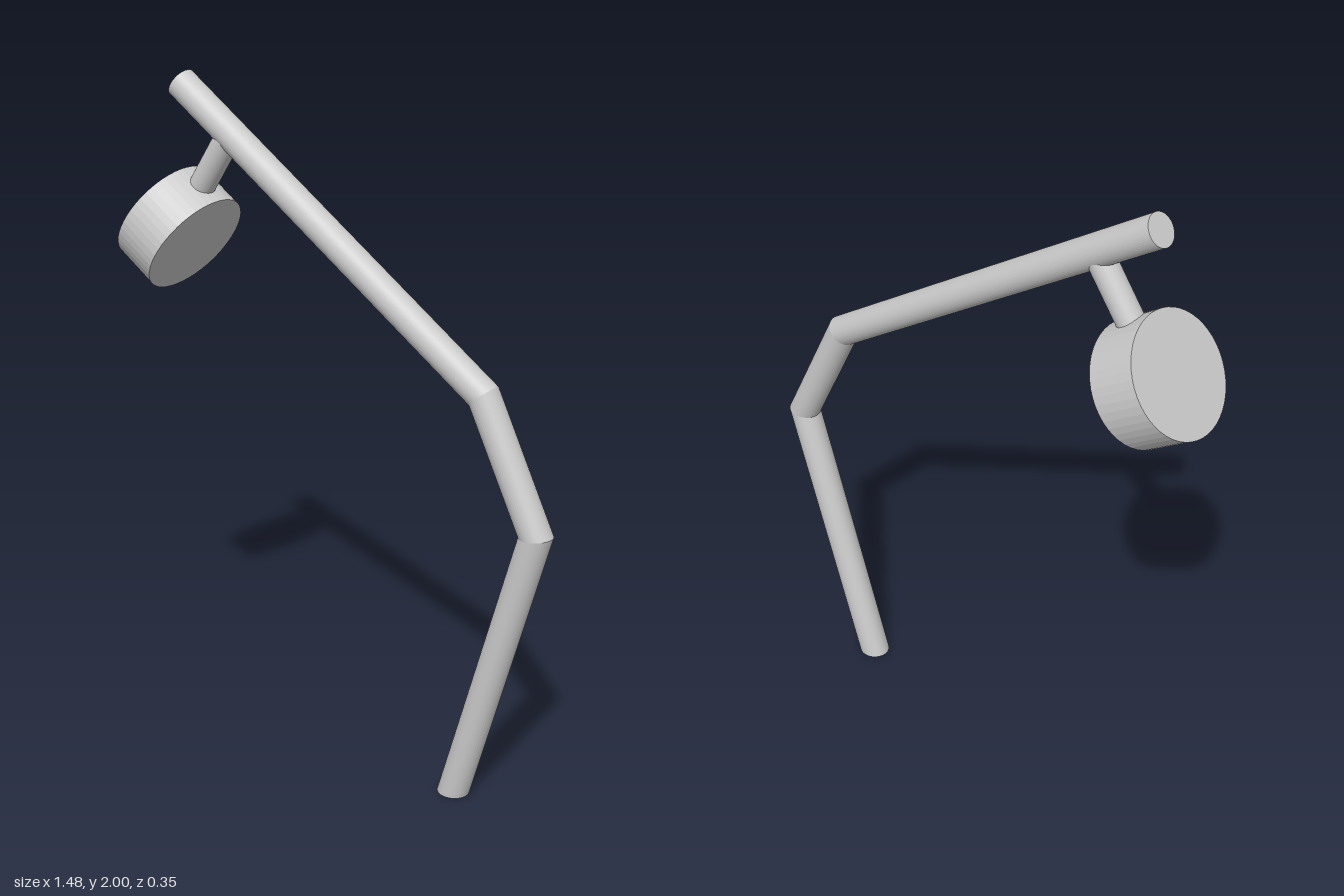
import * as THREE from 'three';

const SIDES = 48;
const material = new THREE.MeshStandardMaterial({ color: 0xcccccc, flatShading: true });

// Straight rod from a to b, its ends cut by planes with normals cutA and cutB
function rod(name, a, b, radius, cutA, cutB) {
  const dir = b.clone().sub(a);
  const length = dir.length();
  dir.normalize();
  const geometry = new THREE.CylinderGeometry(radius, radius, length, SIDES);
  const turn = new THREE.Quaternion().setFromUnitVectors(new THREE.Vector3(0, 1, 0), dir);
  const pos = geometry.attributes.position;
  const p = new THREE.Vector3();
  for (let i = 0; i < pos.count; i++) {
    p.fromBufferAttribute(pos, i);
    const [end, normal] = p.y < 0 ? [a, cutA ?? dir] : [b, cutB ?? dir];
    p.applyQuaternion(turn).addScaledVector(a, 0.5).addScaledVector(b, 0.5);
    // slide the vertex along the rod onto the cutting plane
    const slide = end.clone().sub(p).dot(normal) / dir.dot(normal);
    p.addScaledVector(dir, slide);
    pos.setXYZ(i, p.x, p.y, p.z);
  }
  geometry.computeVertexNormals();
  const mesh = new THREE.Mesh(geometry, material);
  mesh.name = name;
  return mesh;
}

export function createModel() {
  const model = new THREE.Group();
  model.name = 'bentArmLamp';

  // Bent arm: three rods with mitred joints and a level foot
  const path = [[0.443, 0], [0.688, 0.871], [0.508, 1.233], [-0.558, 1.958]]
    .map(([x, y]) => new THREE.Vector3(x, y, 0));
  const dirs = path.slice(1).map((p, i) => p.clone().sub(path[i]).normalize());
  const cuts = [
    new THREE.Vector3(0, 1, 0),
    dirs[0].clone().add(dirs[1]).normalize(),
    dirs[1].clone().add(dirs[2]).normalize(),
    dirs[2],
  ];
  ['lowerArm', 'elbow', 'upperArm'].forEach((name, i) => {
    model.add(rod(name, path[i], path[i + 1], 0.046, cuts[i], cuts[i + 1]));
  });

  // Round head, its axis parallel to the upper arm
  const axis = dirs[2];
  const centre = new THREE.Vector3(-0.58, 1.529, 0);
  const halfDepth = axis.clone().multiplyScalar(0.0735);
  model.add(rod('head', centre.clone().sub(halfDepth), centre.clone().add(halfDepth), 0.173));

  // Stem from the middle of the upper arm down into the rim of the head
  const along = centre.clone().sub(path[3]).dot(axis);
  const top = path[3].clone().addScaledVector(axis, along);
  const down = centre.clone().sub(top).normalize();
  model.add(rod('stem', top, centre.clone().addScaledVector(down, -0.14), 0.039));

  return model;
}
